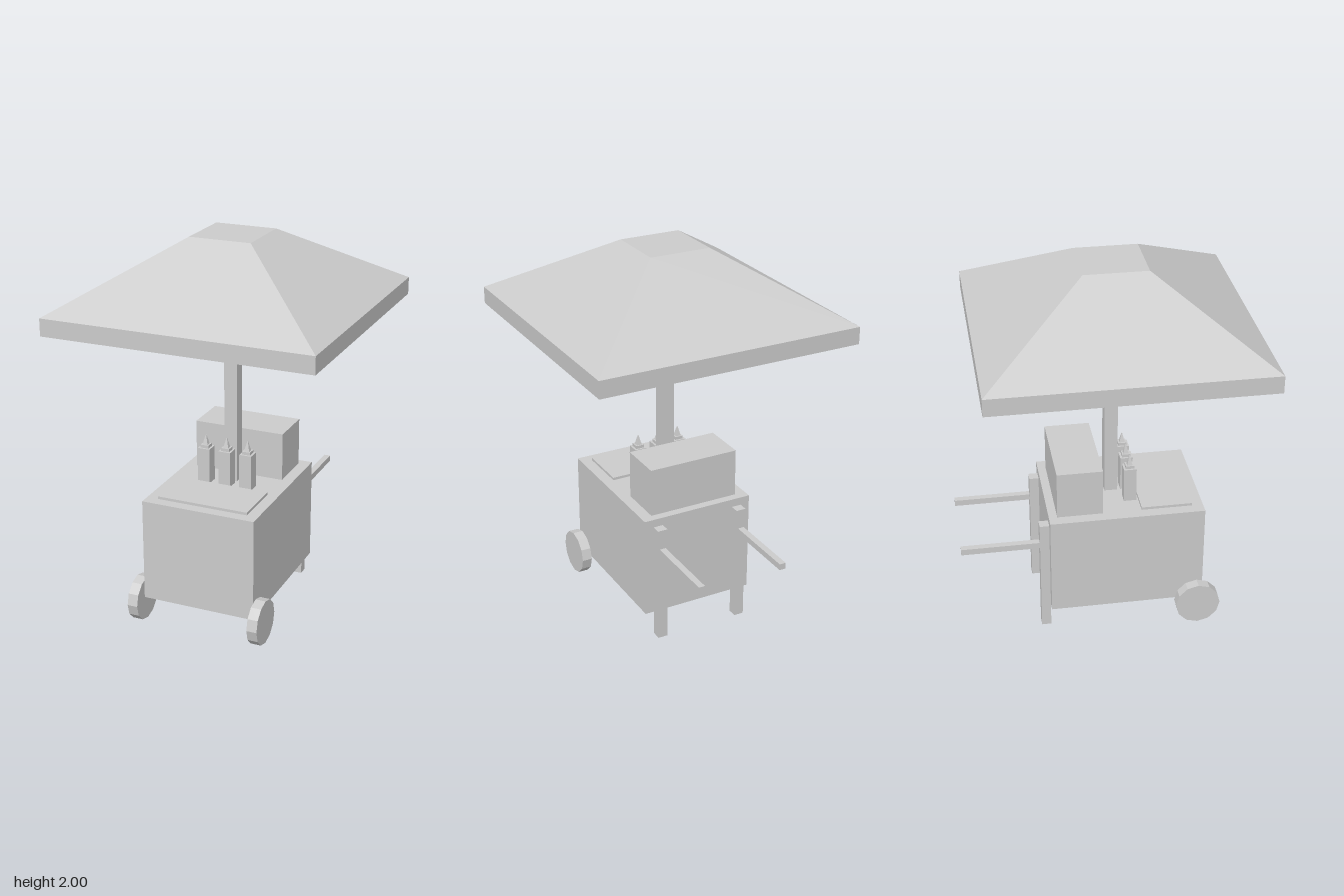
import * as THREE from 'three';

const material = new THREE.MeshStandardMaterial({ color: 0xcccccc, flatShading: true });

function addMesh(parent, name, geometry) {
  const mesh = new THREE.Mesh(geometry, material);
  mesh.name = name;
  parent.add(mesh);
  return mesh;
}

// Box given by its centre x and width, and its y and z ranges
function addBox(parent, name, x, width, y0, y1, z0, z1) {
  const mesh = addMesh(parent, name, new THREE.BoxGeometry(width, y1 - y0, z1 - z0));
  mesh.position.set(x, (y0 + y1) / 2, (z0 + z1) / 2);
}

// Four-sided solid of revolution: profile of [half width, y], bottom to top
function squareLathe(profile) {
  const points = profile.map(([h, y]) => new THREE.Vector2(h * Math.SQRT2, y));
  return new THREE.LatheGeometry(points, 4, Math.PI / 4);
}

export function createModel() {
  const cart = new THREE.Group();
  cart.name = 'foodCart';

  // Cart body, raised back box and serving tray
  addBox(cart, 'body', 0, 0.612, 0.135, 0.683, -0.3, 0.513);
  addBox(cart, 'storageBox', 0, 0.492, 0.683, 0.94, -0.256, -0.016);
  addBox(cart, 'servingTray', 0, 0.492, 0.683, 0.697, 0.187, 0.455);

  // Parasol: pole and thick canopy, its underside sloping up from the rim
  addBox(cart, 'pole', 0, 0.07, 0.683, 1.95, 0.024, 0.094);
  const canopy = addMesh(cart, 'canopy', squareLathe(
    [[0, 1.91], [0.163, 1.91], [0.701, 1.582], [0.701, 1.672], [0.163, 2], [0, 2]]));
  canopy.position.z = 0.059;

  // Sauce bottles with cap and pointed nozzle
  for (const x of [-0.117, 0, 0.117]) {
    const bottle = new THREE.Group();
    bottle.name = 'sauceBottle';
    addBox(bottle, 'bottleBody', 0, 0.066, 0, 0.19, -0.033, 0.033);
    addBox(bottle, 'bottleCap', 0, 0.044, 0.19, 0.206, -0.022, 0.022);
    addMesh(bottle, 'nozzle', squareLathe([[0.014, 0.206], [0.002, 0.256], [0, 0.256]]));
    bottle.position.set(x, 0.683, 0.143);
    cart.add(bottle);
  }

  // Mirrored wheels, rear legs and push handles
  const wheelGeometry = new THREE.CylinderGeometry(0.119, 0.119, 0.055, 12).rotateZ(Math.PI / 2);
  for (const [side, label] of [[1, 'left'], [-1, 'right']]) {
    addMesh(cart, label + 'Wheel', wheelGeometry).position.set(side * 0.3335, 0.12, 0.482);
    addBox(cart, label + 'Leg', side * 0.23, 0.053, 0, 0.64, -0.35, -0.3);
    addBox(cart, label + 'Handle', side * 0.231, 0.034, 0.5, 0.533, -0.76, -0.35);
  }
  return cart;
}
